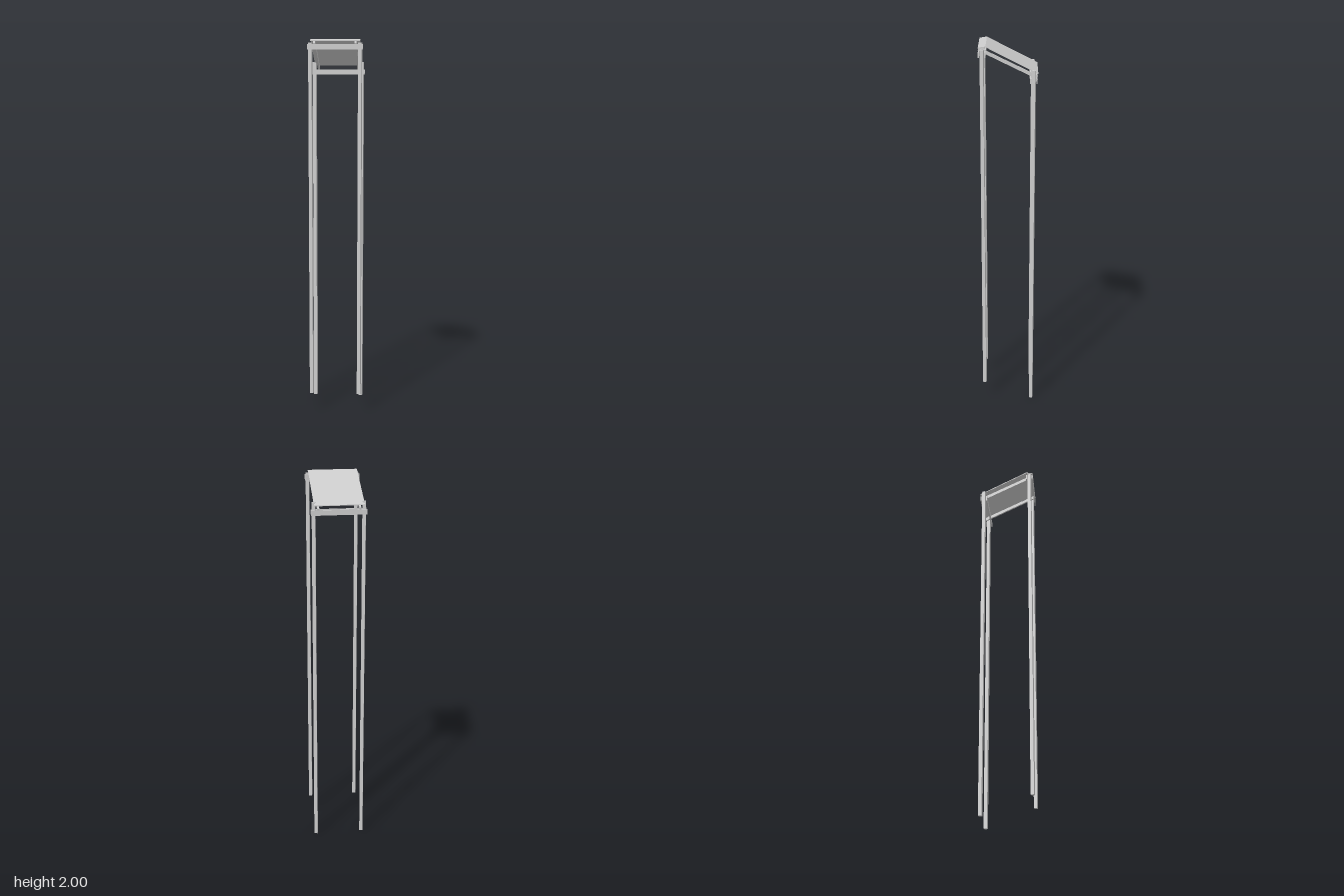
import * as THREE from 'three';

export function createModel() {
  const model = new THREE.Group();
  const material = new THREE.MeshStandardMaterial({ color: 0xcccccc, flatShading: true, side: THREE.DoubleSide });

  const addBox = (name, w, h, d, x, y, z) => {
    const mesh = new THREE.Mesh(new THREE.BoxGeometry(w, h, d), material);
    mesh.name = name;
    mesh.position.set(x, y, z);
    model.add(mesh);
    return mesh;
  };

  // Side profile drawn as [z, y] points, extruded across x
  const addProfile = (name, points, width, x) => {
    const shape = new THREE.Shape(points.map(([z, y]) => new THREE.Vector2(-z, y)));
    const geometry = new THREE.ExtrudeGeometry(shape, { depth: width, bevelEnabled: false });
    geometry.translate(0, 0, -width / 2).rotateY(Math.PI / 2);
    const mesh = new THREE.Mesh(geometry, material);
    mesh.name = name;
    mesh.position.x = x;
    model.add(mesh);
  };

  const ends = [
    { name: 'front', z: 0.129, bottom: 0.1, top: 1.982, beamY: 1.96 },
    { name: 'back', z: -0.13, bottom: 0, top: 1.88, beamY: 1.828 },
  ];

  for (const { name, z, bottom, top, beamY } of ends) {
    // Slightly twisted tall posts
    for (const side of [-1, 1]) {
      const post = addBox(`${name}${side > 0 ? 'Left' : 'Right'}Post`,
        0.018, top - bottom, 0.018, side * 0.128, (top + bottom) / 2, z);
      post.rotation.y = -0.22;
    }
    // Pair of thin beams clamping the posts
    for (const offset of [-0.016, 0.016]) {
      addBox(`${name}${offset > 0 ? 'Outer' : 'Inner'}Beam`.replace(/Outer|Inner/, (s) =>
        offset * z > 0 ? 'Outer' : 'Inner'), 0.284, 0.026, 0.006, 0, beamY, z + offset);
    }
  }

  // Sloping rafters resting on the beams
  for (const side of [-1, 1]) {
    addProfile(side > 0 ? 'leftRafter' : 'rightRafter',
      [[0.149, 1.977], [0.146, 1.993], [-0.15, 1.85], [-0.147, 1.833]], 0.01, side * 0.106);
  }

  // Thin roof sheet with a bent front lip
  addProfile('roofSheet',
    [[0.148, 1.99], [0.148, 1.994], [0.11, 2], [-0.152, 1.867], [-0.152, 1.863], [0.11, 1.996]], 0.256, 0);

  return model;
}
